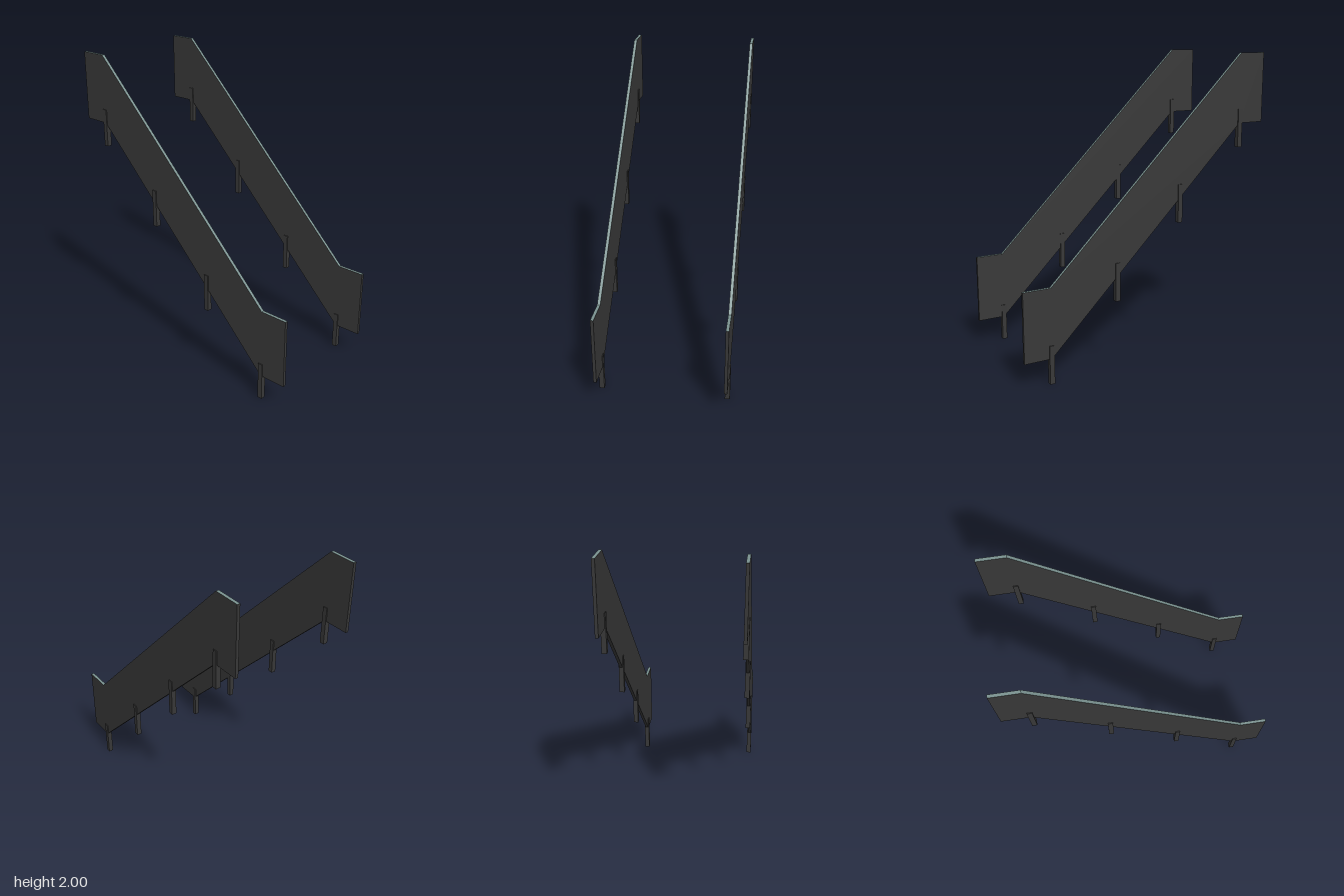
import * as THREE from 'three';

const dark = new THREE.MeshStandardMaterial({ color: 0x383838 });
dark.name = 'charcoal';
const trim = new THREE.MeshStandardMaterial({ color: 0x7a9290 });
trim.name = 'grey green edge';

const RAIL_X = 0.413, PANEL_T = 0.02, POST_W = 0.032, POST_H = 0.252;

// Sloping side panel with level ends; outline given as [z, y]
function panelGeometry() {
  const outline = [
    [0.873, 0.165], [0.873, 0.623], [0.69, 0.623], [-0.69, 2.0],
    [-0.873, 2.0], [-0.873, 1.543], [-0.69, 1.543], [0.69, 0.165],
  ];
  const shape = new THREE.Shape(outline.map(([z, y]) => new THREE.Vector2(z, y)));
  const geo = new THREE.ExtrudeGeometry(shape, { depth: PANEL_T, bevelEnabled: false });
  geo.translate(0, 0, -PANEL_T / 2);
  geo.rotateY(-Math.PI / 2);

  // Upward-facing edges take the trim colour, everything else stays dark
  geo.clearGroups();
  const normal = geo.getAttribute('normal');
  for (let i = 0; i < normal.count; i += 3) {
    geo.addGroup(i, 3, normal.getY(i) > 0.1 ? 1 : 0);
  }
  return geo;
}

export function createModel() {
  const model = new THREE.Group();
  model.name = 'stairRailings';
  const panelGeo = panelGeometry();
  const postGeo = new THREE.BoxGeometry(POST_W, POST_H, POST_W);

  for (const [side, name] of [[1, 'left'], [-1, 'right']]) {
    const railing = new THREE.Group();
    railing.name = name + 'Railing';
    railing.position.x = side * RAIL_X;

    const panel = new THREE.Mesh(panelGeo, [dark, trim]);
    panel.name = name + 'Panel';
    railing.add(panel);

    // Four short posts climbing along the lower edge
    for (let i = 0; i < 4; i++) {
      const post = new THREE.Mesh(postGeo, dark);
      post.name = name + 'Post' + (i + 1);
      post.position.set(0, POST_H / 2 + i * 0.461, 0.691 - i * 0.461);
      railing.add(post);
    }
    model.add(railing);
  }
  return model;
}
